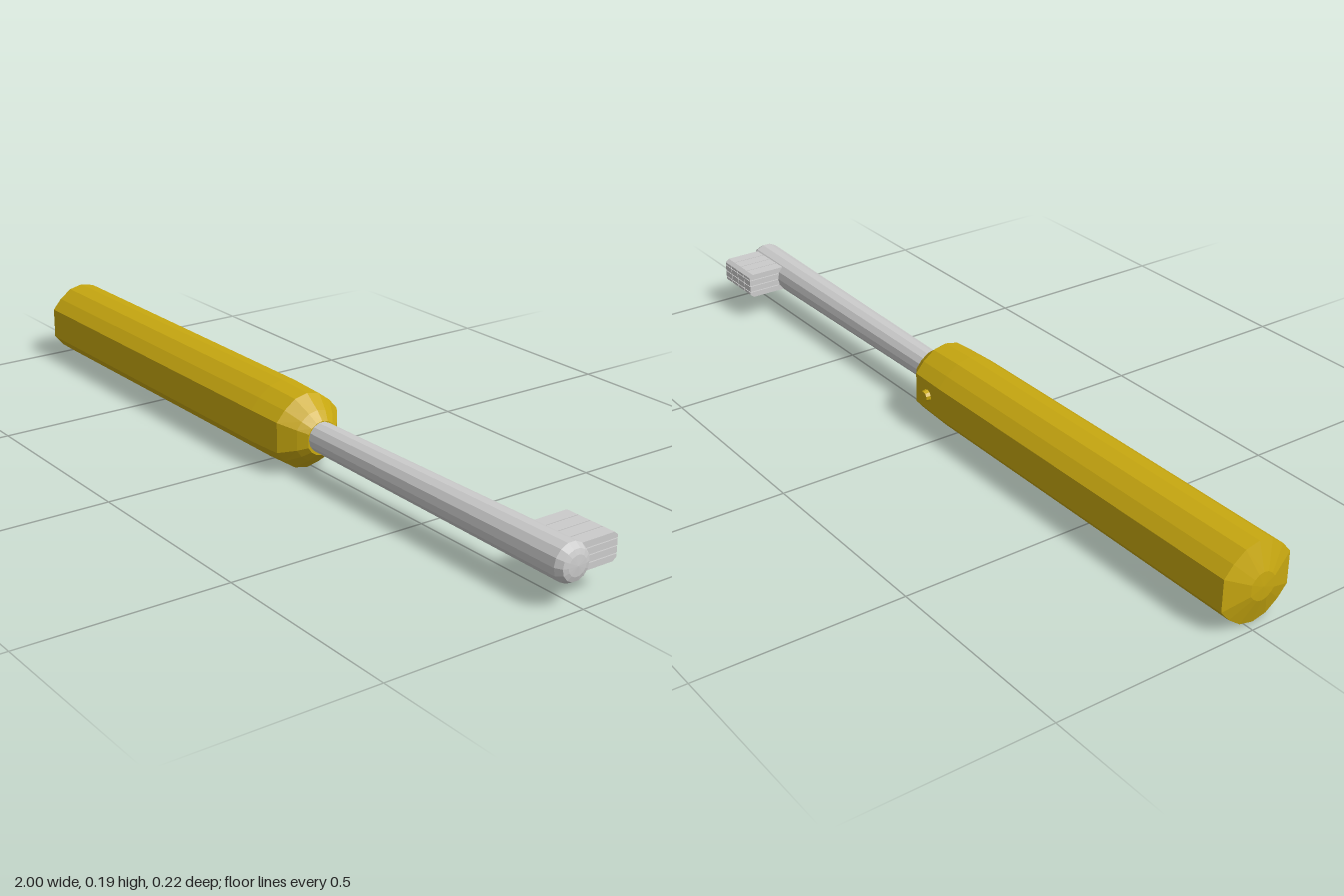
import * as THREE from 'three';

const CY = 0.1, CZ = 0.02; // long axis of the brush

// Skin over rings of [y, z] points placed along x, closed at both ends.
function loft(sections) {
  const n = sections[0].ring.length, pos = [], index = [];
  for (const { x, ring } of sections) for (const [y, z] of ring) pos.push(x, y, z);
  for (let s = 0; s < sections.length - 1; s++) {
    for (let i = 0; i < n; i++) {
      const a = s * n + i, b = s * n + (i + 1) % n;
      index.push(a, b, a + n, b, b + n, a + n);
    }
  }
  const last = (sections.length - 1) * n, c = sections.length * n;
  pos.push(sections[0].tip, 0, 0, sections.at(-1).tip, 0, 0);
  for (let i = 0; i < n; i++) {
    const j = (i + 1) % n;
    index.push(c, j, i, c + 1, last + i, last + j);
  }
  const g = new THREE.BufferGeometry();
  g.setAttribute('position', new THREE.Float32BufferAttribute(pos, 3));
  g.setIndex(index);
  g.computeVertexNormals();
  return g;
}

export function createModel() {
  const group = new THREE.Group();
  const yellow = new THREE.MeshStandardMaterial({ color: 0xc8a810, flatShading: true });
  const grey = new THREE.MeshStandardMaterial({ color: 0xcccccc, flatShading: true });
  const add = (name, geometry, material, x, y, z, parent = group) => {
    const m = new THREE.Mesh(geometry, material);
    m.name = name;
    m.position.set(x, y, z);
    parent.add(m);
    return m;
  };

  // Handle cross-section: round above and below, flat at front and back
  const quarter = [[0.097, 0], [0.089, 0.036], [0.066, 0.067], [0.039, 0.09]];
  const outline = [
    ...quarter,
    ...quarter.slice(1).reverse().map(([y, z]) => [-y, z]),
    ...quarter.map(([y, z]) => [-y, -z]),
    ...quarter.slice(1).reverse().map(([y, z]) => [y, -z]),
  ];
  // Scaled outline, blended towards a circle of radius r by t
  const ring = (scale, t = 0, r = 0) => outline.map(([y, z]) => {
    const d = Math.hypot(y, z);
    return [y, z].map(v => v * scale * (1 - t) + (v / d) * r * t);
  });
  add('handle', loft([
    { x: -0.998, ring: ring(0.35), tip: -1 },
    { x: -0.978, ring: ring(1) },
    { x: 0, ring: ring(1) },
    { x: 0.1, ring: ring(0.96) },
    { x: 0.14, ring: ring(0.7, 0.5, 0.058) },
    { x: 0.16, ring: ring(1, 1, 0.042), tip: 0.16 },
  ]), yellow, 0, CY, CZ);

  // Power button on the rear flat
  const button = add('powerButton', new THREE.CylinderGeometry(0.013, 0.016, 0.014, 10), yellow, 0.05, CY, CZ - 0.093);
  button.rotation.x = -Math.PI / 2;

  // Neck, widening towards a bevelled tip
  const profile = [[0, 0.15], [0.037, 0.15], [0.045, 0.978], [0.036, 0.994], [0.024, 0.998], [0, 1]]
    .map(([r, h]) => new THREE.Vector2(r, h));
  const neck = add('neck', new THREE.LatheGeometry(profile, 14), grey, 0, CY + 0.003, CZ + 0.001);
  neck.rotation.z = -Math.PI / 2;

  // Bristle tufts; the outer rows have bevelled ends
  const bristles = new THREE.Group();
  bristles.name = 'bristles';
  group.add(bristles);
  const rows = 4, columns = 4, h = 0.0146, w = 0.032, root = 0.01, end = -0.11;
  for (let r = 0; r < rows; r++) {
    const y = 0.07 + r * 0.0168;
    const cutLow = r === 0 ? 0.01 : 0, cutHigh = r === rows - 1 ? 0.01 : 0;
    const side = new THREE.Shape([
      [root, y], [end + cutLow, y], [end, y + cutLow * 0.8],
      [end, y + h - cutHigh * 0.8], [end + cutHigh, y + h], [root, y + h],
    ].map(p => new THREE.Vector2(-p[0], p[1])));
    const tuft = new THREE.ExtrudeGeometry(side, { depth: w, bevelEnabled: false });
    tuft.rotateY(Math.PI / 2); // shape x becomes -z, depth becomes x
    for (let c = 0; c < columns; c++) add('bristleTuft', tuft, grey, 0.84 + c * 0.0343, 0, 0, bristles);
  }
  return group;
}
